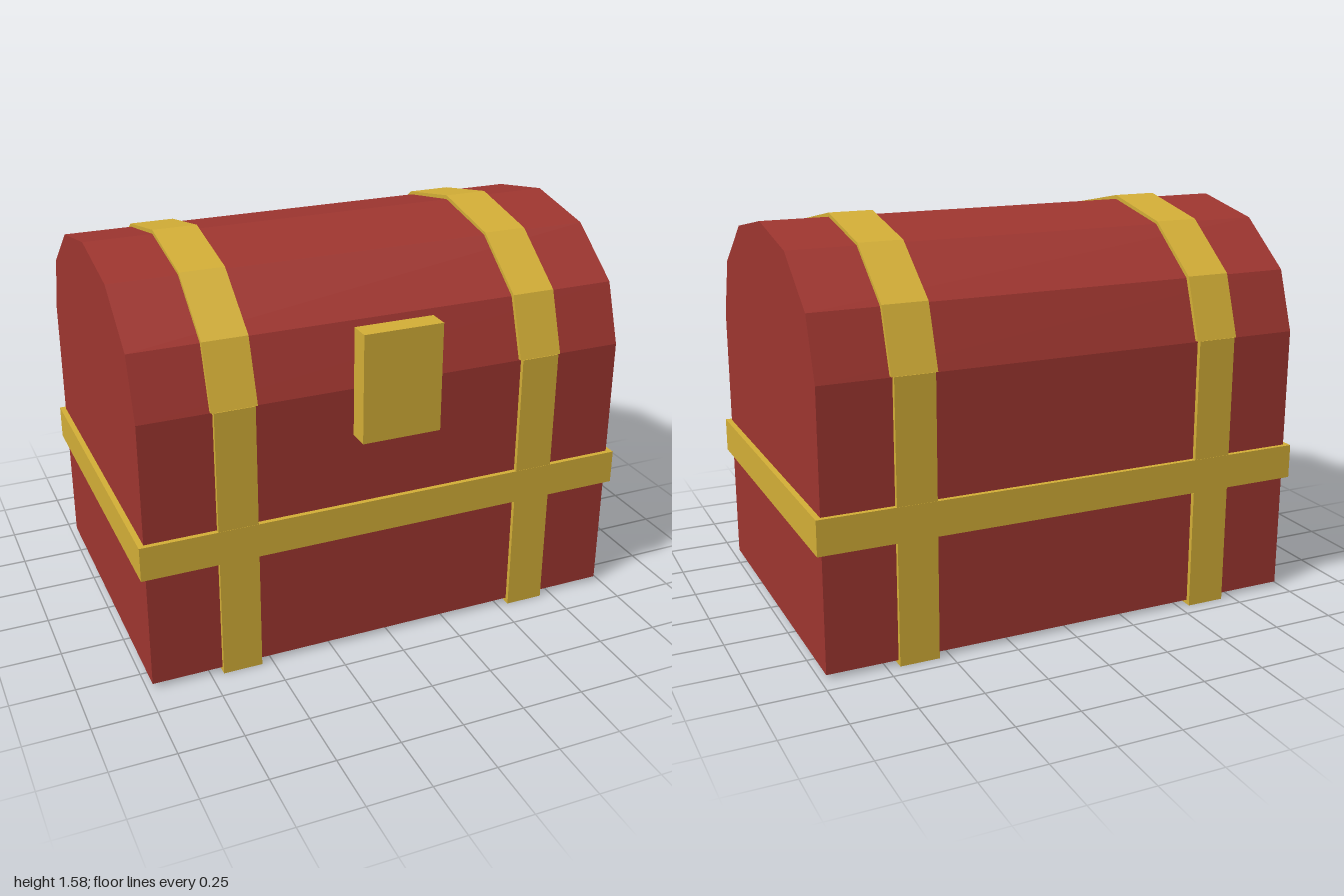
import * as THREE from 'three';

const MID_Z = -0.035; // the chest sits slightly back because the lock projects

export function createModel() {
  const red = new THREE.MeshStandardMaterial({ color: 0x9f3630 });
  red.name = 'red wood';
  const gold = new THREE.MeshStandardMaterial({ color: 0xd4af37 });
  gold.name = 'gold trim';

  const chest = new THREE.Group();
  chest.name = 'treasureChest';

  const add = (name, geometry, material, x, y, z) => {
    const mesh = new THREE.Mesh(geometry, material);
    mesh.name = name;
    mesh.position.set(x, y, z);
    chest.add(mesh);
  };

  // Box given by its width, depth and vertical extent
  const addBox = (name, material, w, d, y0, y1, x, z) =>
    add(name, new THREE.BoxGeometry(w, y1 - y0, d), material, x, (y0 + y1) / 2, z);

  // Side profile [half depth, height], mirrored front to back and extruded along x
  const addProfile = (name, material, half, peak, width, x) => {
    const points = [
      ...half,
      [0, peak],
      ...half.map(([z, y]) => [-z, y]).reverse(),
    ].map(([z, y]) => new THREE.Vector2(z, y));
    const geometry = new THREE.ExtrudeGeometry(new THREE.Shape(points), {
      depth: width,
      bevelEnabled: false,
    });
    geometry.translate(0, 0, -width / 2).rotateY(-Math.PI / 2);
    add(name, geometry, material, x, 0, MID_Z);
  };

  // Body and faceted barrel lid
  addProfile('bodyAndLid', red,
    [[0.637, 0.018], [0.637, 1.095], [0.555, 1.33], [0.322, 1.507]], 1.568, 1.956, 0);

  // Straps: an upright band round the body, a slightly wider one over the lid
  for (const [side, x] of [['left', 0.623], ['right', -0.623]]) {
    addBox(side + 'BodyStrap', gold, 0.156, 1.31, 0, 1.1, x, MID_Z);
    addProfile(side + 'LidStrap', gold,
      [[0.652, 1.1], [0.57, 1.338], [0.33, 1.518]], 1.584, 0.175, x);
  }

  // Horizontal band round the body
  addBox('waistBand', gold, 2, 1.312, 0.485, 0.622, 0, MID_Z);

  // Lock plate on the front
  addBox('lock', gold, 0.316, 0.086, 0.908, 1.337, 0, 0.647);

  return chest;
}
